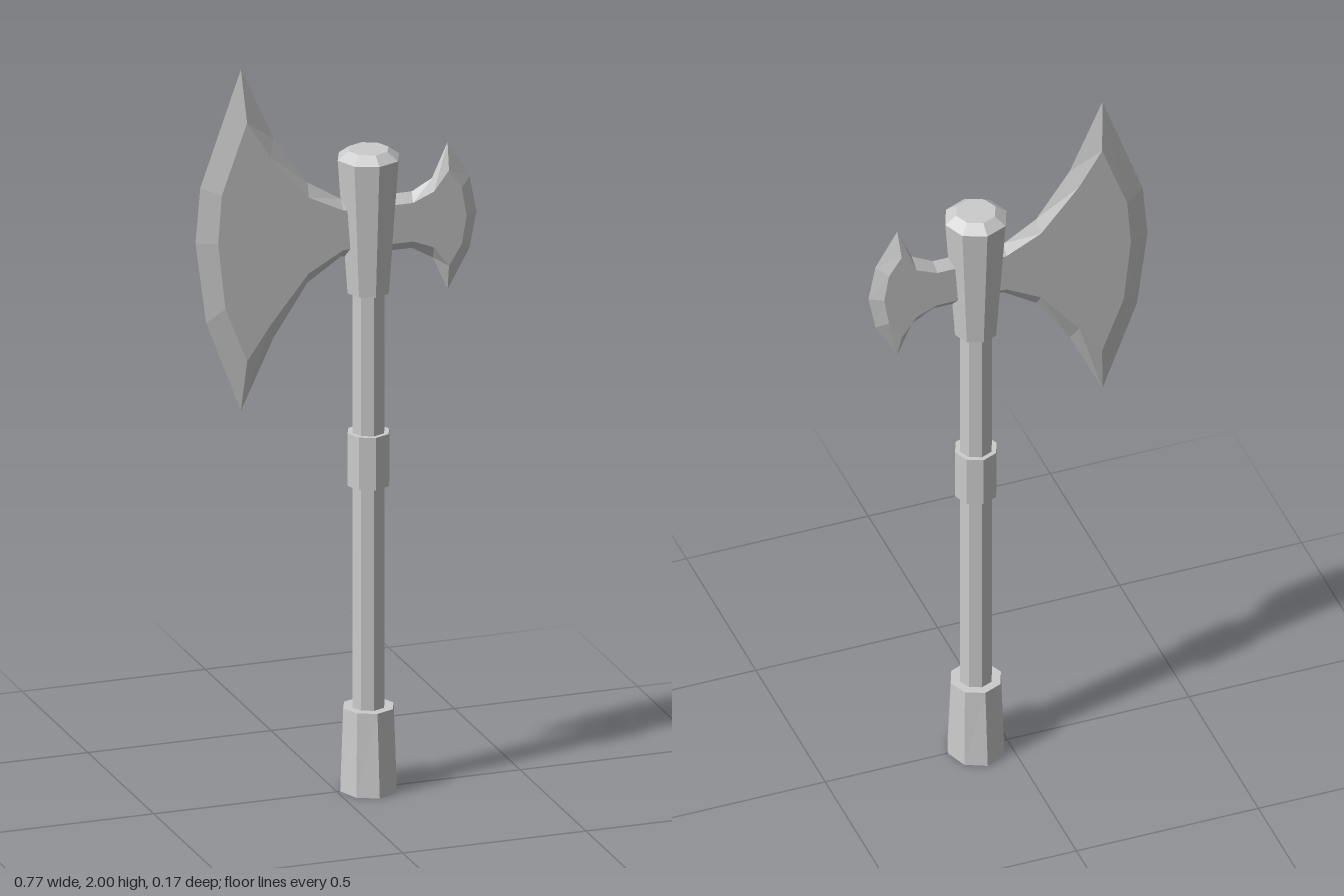
import * as THREE from 'three';

const material = new THREE.MeshStandardMaterial({ color: 0xcccccc, flatShading: true, side: THREE.DoubleSide });
const AXIS_X = 0.086, HALF_THICKNESS = 0.022;

// Eight-sided section of the handle; depth stretches the bottom ring along z
function octagon(name, rTop, rBottom, y0, y1, depth = 1) {
  const geometry = new THREE.CylinderGeometry(rTop, rBottom, y1 - y0, 8);
  const p = geometry.attributes.position;
  for (let i = 0; i < p.count; i++) if (p.getY(i) < 0) p.setZ(i, p.getZ(i) * depth);
  geometry.computeVertexNormals();
  const mesh = new THREE.Mesh(geometry, material);
  mesh.name = name;
  mesh.position.set(AXIS_X, (y0 + y1) / 2, 0);
  return mesh;
}

// Blade: a sharp rim at z = 0 bevelled up to a flat cheek on each side.
// Each row is rim x, rim y, cheek x, cheek y, counter-clockwise from the front.
function blade(name, rows) {
  const cheek = rows.map(r => new THREE.Vector2(r[2], r[3]));
  const faces = THREE.ShapeUtils.triangulateShape(cheek, []);
  const positions = [];
  for (const side of [1, -1]) {
    const z = side * HALF_THICKNESS;
    const rim = i => [rows[i][0], rows[i][1], 0];
    const top = i => [rows[i][2], rows[i][3], z];
    const tri = (a, b, c) => positions.push(...a, ...(side > 0 ? b : c), ...(side > 0 ? c : b));
    for (const [a, b, c] of faces) tri(top(a), top(b), top(c));
    rows.forEach((_, i) => {
      const j = (i + 1) % rows.length;
      tri(rim(i), rim(j), top(j));
      tri(rim(i), top(j), top(i));
    });
  }
  const geometry = new THREE.BufferGeometry();
  geometry.setAttribute('position', new THREE.Float32BufferAttribute(positions, 3));
  geometry.computeVertexNormals();
  const mesh = new THREE.Mesh(geometry, material);
  mesh.name = name;
  return mesh;
}

export function createModel() {
  const axe = new THREE.Group();
  axe.name = 'battleAxe';

  // Handle
  axe.add(
    octagon('pommel', 0.069, 0.077, 0, 0.225, 1.12),
    octagon('shaft', 0.044, 0.044, 0.2, 1.4),
    octagon('gripCollar', 0.057, 0.057, 0.83, 0.973),
    octagon('headSocket', 0.084, 0.057, 1.355, 1.72),
    octagon('socketCap', 0.054, 0.084, 1.72, 1.742),
  );

  // Large crescent blade
  axe.add(blade('largeBlade', [
    [0.085, 1.61, 0.085, 1.585],
    [0.01, 1.615, 0.01, 1.59],
    [-0.08, 1.67, -0.085, 1.637],
    [-0.172, 1.8, -0.19, 1.76],
    [-0.262, 2.0, -0.253, 1.86],
    [-0.373, 1.69, -0.322, 1.67],
    [-0.386, 1.54, -0.332, 1.54],
    [-0.357, 1.32, -0.312, 1.36],
    [-0.262, 1.07, -0.253, 1.21],
    [-0.172, 1.26, -0.19, 1.3],
    [-0.08, 1.398, -0.085, 1.43],
    [0.01, 1.457, 0.01, 1.482],
    [0.085, 1.46, 0.085, 1.485],
  ]));

  // Small rear blade
  axe.add(blade('smallBlade', [
    [0.085, 1.458, 0.085, 1.483],
    [0.204, 1.458, 0.2, 1.483],
    [0.262, 1.425, 0.257, 1.46],
    [0.302, 1.333, 0.298, 1.405],
    [0.362, 1.44, 0.333, 1.46],
    [0.381, 1.537, 0.346, 1.537],
    [0.362, 1.635, 0.333, 1.613],
    [0.302, 1.735, 0.298, 1.665],
    [0.262, 1.643, 0.257, 1.612],
    [0.204, 1.612, 0.2, 1.588],
    [0.085, 1.612, 0.085, 1.588],
  ]));

  return axe;
}
